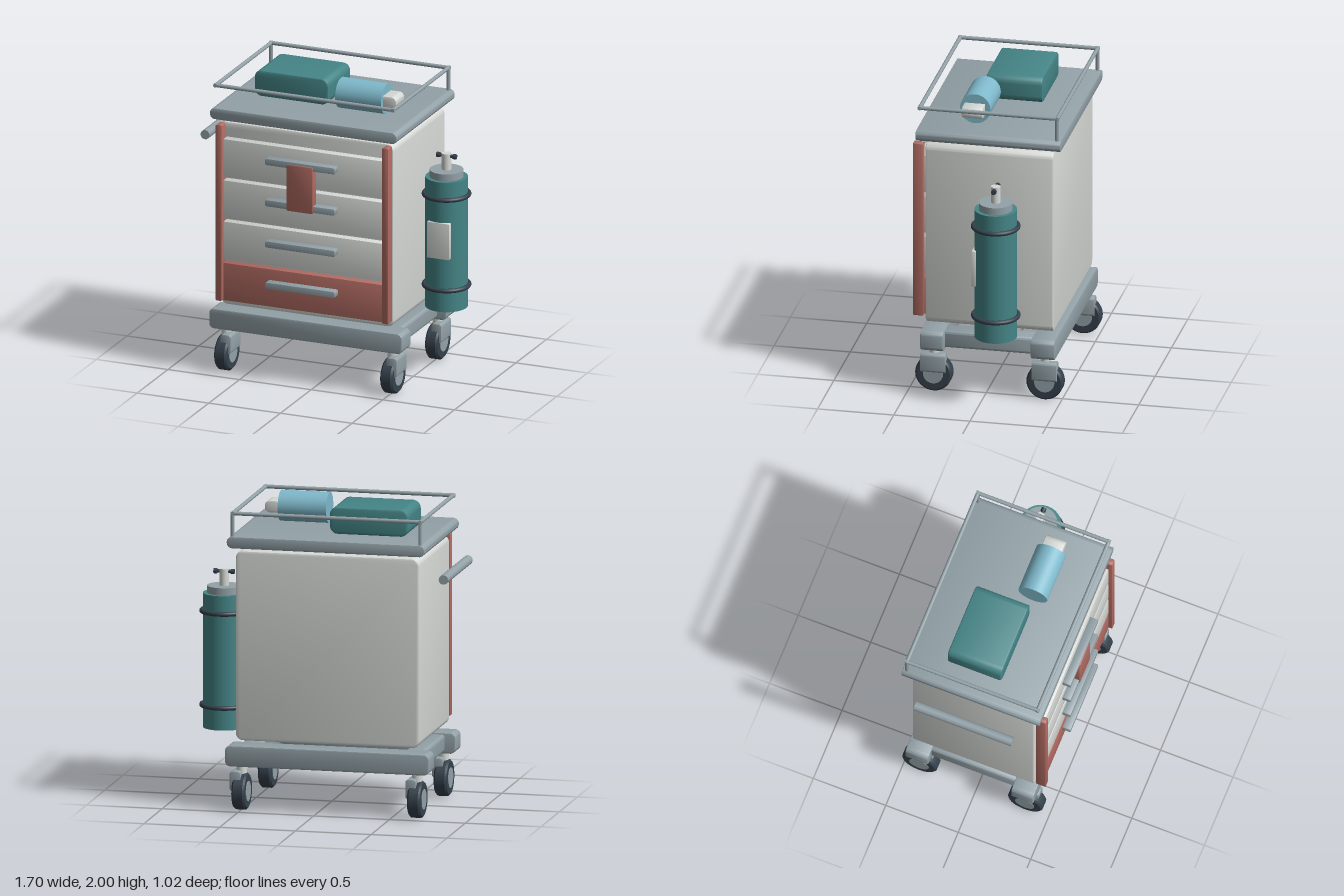
import * as THREE from 'three';
import { toCreasedNormals } from 'three/addons/utils/BufferGeometryUtils.js';

const paint = (name, color) => {
  const m = new THREE.MeshStandardMaterial({ color });
  m.name = name;
  return m;
};

export function createModel() {
  const white = paint('offWhite', 0xd6d9d6);
  const steel = paint('steelGrey', 0x93a2a8);
  const teal = paint('teal', 0x458587);
  const red = paint('dullRed', 0xb26c63);
  const blue = paint('lightBlue', 0x7fb9cb);
  const dark = paint('darkRubber', 0x35414c);

  const model = new THREE.Group();
  model.name = 'medicalCart';

  const add = (name, geo, mat, x = 0, y = 0, z = 0, parent = model) => {
    const mesh = new THREE.Mesh(geo, mat);
    mesh.name = name;
    mesh.position.set(x, y, z);
    parent.add(mesh);
    return mesh;
  };

  // Slab given by its limits: rounded outline in x/y, small bevel along z
  const slab = (name, mat, [x0, x1], [y0, y1], [z0, z1], r = 0.01, b = 0.004, parent = model) => {
    const w = (x1 - x0) / 2 - b, h = (y1 - y0) / 2 - b, c = Math.max(r - b, 0.002);
    const s = new THREE.Shape();
    s.moveTo(-w + c, -h);
    s.lineTo(w - c, -h);
    s.absarc(w - c, -h + c, c, -Math.PI / 2, 0);
    s.lineTo(w, h - c);
    s.absarc(w - c, h - c, c, 0, Math.PI / 2);
    s.lineTo(-w + c, h);
    s.absarc(-w + c, h - c, c, Math.PI / 2, Math.PI);
    s.lineTo(-w, -h + c);
    s.absarc(-w + c, -h + c, c, Math.PI, Math.PI * 1.5);
    const depth = z1 - z0 - 2 * b;
    const geo = new THREE.ExtrudeGeometry(s, {
      depth, bevelSize: b, bevelThickness: b, bevelSegments: 2, curveSegments: 6,
    });
    geo.translate(0, 0, -depth / 2);
    return add(name, toCreasedNormals(geo, 0.6), mat, (x0 + x1) / 2, (y0 + y1) / 2, (z0 + z1) / 2, parent);
  };

  // Cylinder along a chosen axis
  const rod = (name, mat, axis, r, len, x, y, z, parent = model, sides = 32) => {
    const geo = new THREE.CylinderGeometry(r, r, len, sides);
    if (axis === 'x') geo.rotateZ(Math.PI / 2);
    if (axis === 'z') geo.rotateX(Math.PI / 2);
    return add(name, geo, mat, x, y, z, parent);
  };

  // Cabinet and worktop
  slab('cabinet', white, [-0.68, 0.53], [0.46, 1.7], [-0.445, 0.395], 0.05, 0.012);
  slab('worktop', steel, [-0.73, 0.575], [1.725, 1.8], [-0.5, 0.45], 0.035, 0.005);

  // Four drawers with handles, the lowest one red
  for (let i = 0; i < 4; i++) {
    const y = 1.345 - i * 0.28;
    slab('drawer', i === 3 ? red : white, [-0.637, 0.485], [y, y + 0.255], [0.38, 0.45], 0.006);
    slab('drawerHandle', steel, [-0.32, 0.165], [y + 0.138, y + 0.182], [0.445, 0.505], 0.01);
  }
  for (const x of [-0.68, 0.482])
    slab('sideTrim', red, [x, x + 0.045], [0.505, 1.7], [0.41, 0.475], 0.012);
  slab('hangingTag', red, [-0.17, 0.015], [1.195, 1.51], [0.45, 0.51], 0.012);

  // Base frame
  for (const [z0, z1] of [[0.265, 0.415], [-0.465, -0.31]])
    slab('baseBeam', steel, [-0.75, 0.595], [0.29, 0.425], [z0, z1], 0.035, 0.006);
  for (const x of [-0.68, 0.4])
    slab('baseSideRail', steel, [x, x + 0.13], [0.3, 0.415], [-0.33, 0.29], 0.02);

  // Casters
  for (const x of [-0.657, 0.502]) for (const z of [0.34, -0.39]) {
    const caster = new THREE.Group();
    caster.name = 'caster';
    caster.position.set(x, 0, z);
    model.add(caster);
    const h = 0.0425, R = 0.12;
    const tyre = new THREE.LatheGeometry([
      [0, -h], [R - 0.012, -h], [R, -h + 0.012], [R, h - 0.012], [R - 0.012, h], [0, h],
    ].map(([a, b]) => new THREE.Vector2(a, b)), 32);
    tyre.rotateZ(-Math.PI / 2);
    add('tyre', toCreasedNormals(tyre, 0.6), dark, 0, R, 0, caster);
    rod('hub', steel, 'x', 0.066, 0.092, 0, R, 0, caster);
    rod('stem', white, 'y', 0.033, 0.08, 0, 0.265, 0, caster);
    slab('fork', steel, [-0.01, 0.06], [0.13, 0.26], [-0.0825, 0.0825], 0.02, 0.004, caster);
  }

  // Guard rail above the worktop, held by the two rear posts
  const L = -0.697, R = 0.541, B = -0.474, F = 0.428, railY = 1.95, rr = 0.013;
  for (const z of [B, F]) rod('guardRail', steel, 'x', rr, R - L + 0.024, (L + R) / 2, railY, z, model, 12);
  for (const x of [L, R]) {
    rod('guardRail', steel, 'z', rr, F - B + 0.024, x, railY, (B + F) / 2, model, 12);
    rod('guardPost', steel, 'y', rr, 0.16, x, 1.875, B, model, 12);
  }

  // Push bar on the side
  rod('pushBar', steel, 'z', 0.031, 0.673, -0.824, 1.557, -0.03);

  // Supplies on the worktop
  slab('supplyCase', teal, [-0.56, -0.045], [1.8, 1.975], [-0.25, 0.12], 0.05, 0.012);
  rod('bottle', blue, 'x', 0.1, 0.32, 0.2, 1.9, 0.103);
  slab('bottleCap', white, [0.33, 0.453], [1.861, 1.938], [0.037, 0.173], 0.034, 0.006);

  // Gas cylinder with collar, valve, label and straps
  const tank = new THREE.Group();
  tank.name = 'gasCylinder';
  tank.position.set(0.687, 0, -0.102);
  model.add(tank);
  rod('tankBody', teal, 'y', 0.137, 0.879, 0, 0.9145, 0, tank, 40);
  rod('tankCollar', steel, 'y', 0.109, 0.05, 0, 1.376, 0, tank, 40);
  rod('valveStem', white, 'y', 0.031, 0.12, 0, 1.45, 0, tank);
  rod('valveBar', dark, 'x', 0.011, 0.13, 0, 1.492, 0, tank, 16);
  for (const x of [-0.057, 0.057]) rod('valveKnob', dark, 'x', 0.017, 0.022, x, 1.492, 0, tank, 16);
  slab('tankLabel', white, [-0.077, 0.078], [0.835, 1.08], [0.108, 0.143], 0.006, 0.003, tank);
  for (const y of [0.622, 1.237]) {
    const strap = new THREE.TorusGeometry(0.145, 0.015, 12, 40);
    strap.rotateX(Math.PI / 2);
    add('tankStrap', strap, dark, 0, y, 0, tank);
  }

  return model;
}
